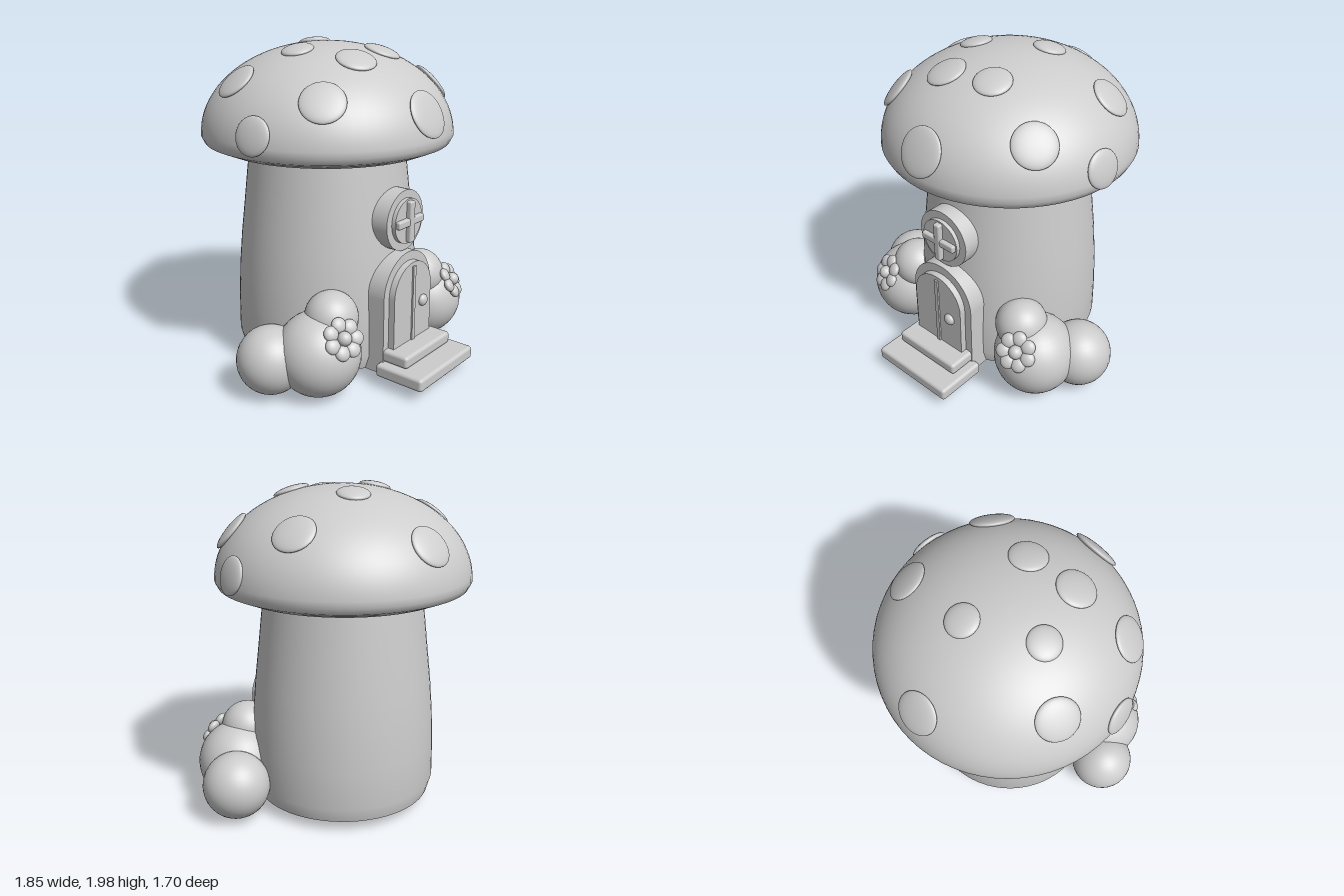
import * as THREE from 'three';
import { RoundedBoxGeometry } from 'three/addons/geometries/RoundedBoxGeometry.js';

const CZ = -0.08; // axis of stem and cap
const CAP = { r: 0.77, h: 0.545, y: 1.44 };

export function createModel() {
  const model = new THREE.Group();
  const plaster = new THREE.MeshStandardMaterial({ color: 0xcccccc, side: THREE.DoubleSide });
  plaster.name = 'lightGrey';

  const add = (name, geometry, x = 0, y = 0, z = 0, parent = model) => {
    const mesh = new THREE.Mesh(geometry, plaster);
    mesh.name = name;
    mesh.position.set(x, y, z);
    parent.add(mesh);
    return mesh;
  };
  const lathe = (pts) => new THREE.LatheGeometry(pts.map(([r, y]) => new THREE.Vector2(r, y)), 64);
  const ball = (r) => new THREE.SphereGeometry(r, 32, 20);
  const Z = new THREE.Vector3(0, 0, 1);
  const face = (obj, normal) => obj.quaternion.setFromUnitVectors(Z, normal.normalize());

  // Hollow stem, open at the bottom
  add('stem', lathe([[0.55, 0.08], [0.575, 0.17], [0.572, 0.4], [0.562, 0.6], [0.545, 0.8],
    [0.522, 1], [0.5, 1.2], [0.48, 1.37]]), 0, 0, CZ);

  // Cap: elliptical dome with a rolled lip, and a shallow underside
  const dome = [[0.71, 1.385], [0.75, 1.402]];
  for (let i = 0; i <= 24; i++) {
    const a = (i / 24) * Math.PI / 2;
    dome.push([Math.max(0, CAP.r * Math.cos(a)), CAP.y + CAP.h * Math.sin(a)]);
  }
  add('capDome', lathe(dome), 0, 0, CZ);
  add('capUnderside', lathe([[0, 1.36], [0.65, 1.36], [0.71, 1.385]]), 0, 0, CZ);

  // Raised spots lying on the dome: x, z, radius
  const spots = [[0, 0.645, 0.143], [-0.165, 0.27, 0.118], [0.14, 0.225, 0.11],
    [-0.265, -0.08, 0.096], [0.12, -0.285, 0.097], [0, -0.75, 0.127]];
  for (const s of [-1, 1]) {
    spots.push([s * 0.75, 0.025, 0.112], [s * 0.52, 0.325, 0.13], [s * 0.56, -0.285, 0.125]);
  }
  for (const [x, z, r] of spots) {
    const dz = z - CZ;
    const dy = CAP.h * Math.sqrt(1 - (x * x + dz * dz) / CAP.r ** 2);
    const spot = add('capSpot', ball(r), x, CAP.y + dy, z);
    spot.scale.z = 0.028 / r;
    face(spot, new THREE.Vector3(x / CAP.r ** 2, dy / CAP.h ** 2, dz / CAP.r ** 2));
  }

  // Arched door: deep frame block with a raised panel
  const arch = (w, bottom, spring, back, front) => {
    const shape = new THREE.Shape();
    shape.moveTo(-w, bottom);
    shape.lineTo(w, bottom);
    shape.lineTo(w, spring);
    shape.absarc(0, spring, w, 0, Math.PI, false);
    shape.closePath();
    const g = new THREE.ExtrudeGeometry(shape, { depth: front - back, bevelEnabled: false, curveSegments: 24 });
    return g.translate(0, 0, back);
  };
  add('doorFrame', arch(0.24, 0.08, 0.55, 0.17, 0.545));
  add('doorPanel', arch(0.19, 0.16, 0.545, 0.5, 0.585));
  add('doorStrip', new THREE.BoxGeometry(0.026, 0.5, 0.03), 0, 0.46, 0.58);
  add('doorKnob', ball(0.037), 0.1, 0.46, 0.59).scale.z = 0.7;

  // Steps
  add('upperStep', new RoundedBoxGeometry(0.47, 0.075, 0.3, 3, 0.02), 0, 0.198, 0.56);
  add('lowerStep', new RoundedBoxGeometry(0.57, 0.08, 0.325, 3, 0.02), 0, 0.12, 0.683);

  // Round window with a cross bar
  const disc = (r, back, front) => new THREE.CylinderGeometry(r, r, front - back, 40)
    .rotateX(Math.PI / 2).translate(0, 0, (back + front) / 2);
  add('windowFrame', disc(0.185, 0.36, 0.515), 0, 0.98, 0);
  add('windowPane', disc(0.137, 0.45, 0.54), 0, 0.98, 0);
  add('windowBarAcross', new RoundedBoxGeometry(0.254, 0.048, 0.045, 2, 0.012), 0, 0.98, 0.545);
  add('windowBarUpright', new RoundedBoxGeometry(0.048, 0.254, 0.05, 2, 0.012), 0, 0.98, 0.547);

  // Bushes, each with a seven-petal flower
  for (const s of [-1, 1]) {
    const side = s > 0 ? 'left' : 'right';
    add(side + 'BushMain', ball(0.253), s * 0.542, 0.265, 0.3);
    add(side + 'BushOuter', ball(0.203), s * 0.722, 0.23, 0.095);
    add(side + 'BushTop', ball(0.16), s * 0.453, 0.465, 0.325);

    const flower = new THREE.Group();
    flower.name = side + 'Flower';
    flower.position.set(s * 0.563, 0.425, 0.505);
    face(flower, new THREE.Vector3(s * 0.3, 0.5, 0.8));
    model.add(flower);
    add('flowerCentre', ball(0.042), 0, 0, 0.012, flower);
    for (let i = 0; i < 7; i++) {
      const a = Math.PI / 2 + (i / 7) * Math.PI * 2;
      add('petal', ball(0.045), Math.cos(a) * 0.08, Math.sin(a) * 0.08, 0, flower).scale.z = 0.6;
    }
  }
  return model;
}
